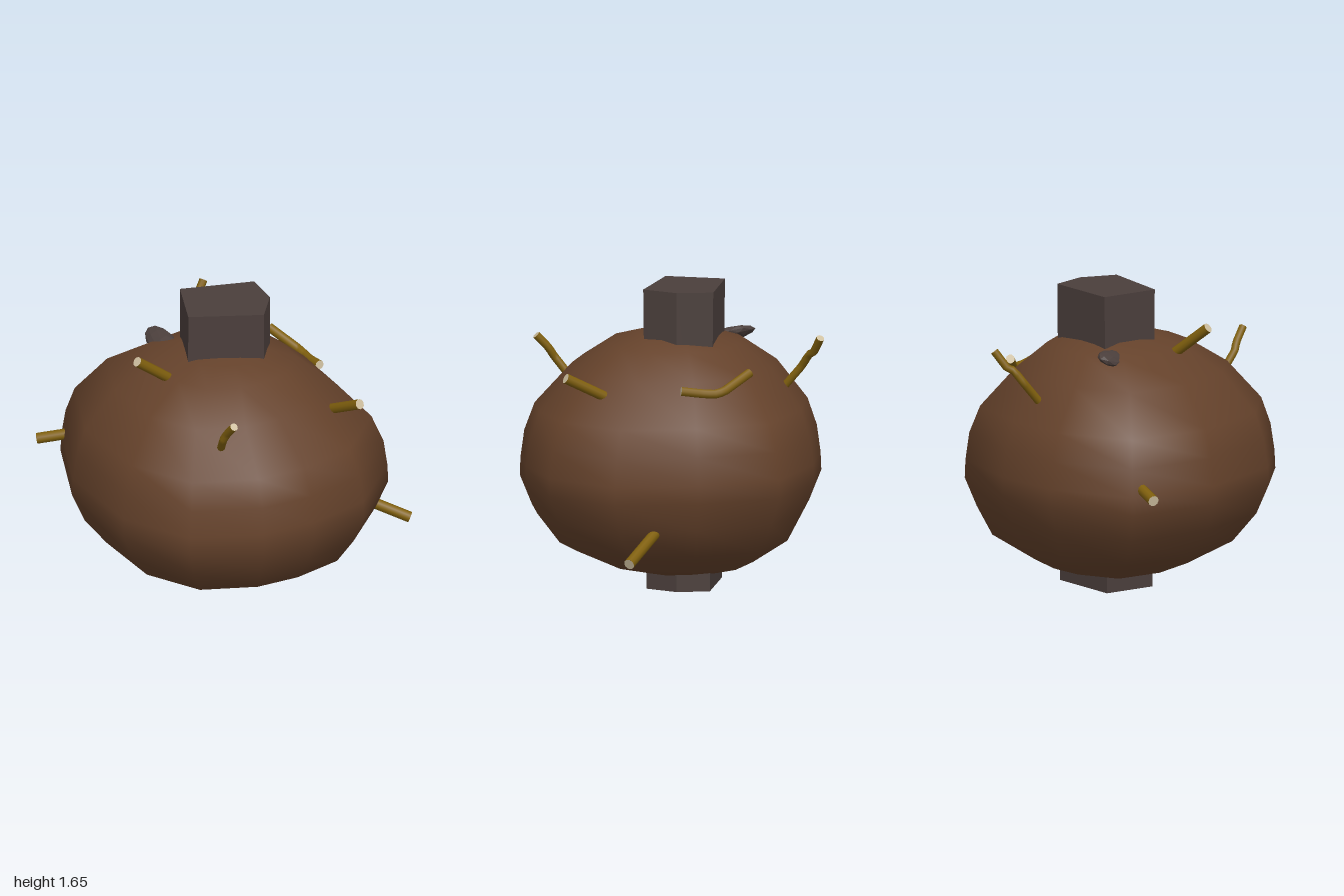
import * as THREE from 'three';

const mat = (color, extra = {}) => new THREE.MeshStandardMaterial({ color, ...extra });
const brown = mat(0x65422b);
const stone = mat(0x4b3f3c, { flatShading: true });
const wood = mat(0x80600e);
const cutWood = mat(0xcfc0a0);

function add(parent, name, geometry, material) {
  const mesh = new THREE.Mesh(geometry, material);
  mesh.name = name;
  parent.add(mesh);
  return mesh;
}

// Lumpy body: one irregular outline (x, z), scaled and shifted up the height
function bodyGeometry() {
  const outline = [
    [-0.86, -0.48], [-0.44, -0.73], [-0.05, -0.78], [0.43, -0.70], [0.70, -0.31], [0.85, 0.12],
    [0.66, 0.53], [0.36, 0.73], [0.07, 0.83], [-0.33, 0.82], [-0.66, 0.55], [-0.87, 0.05],
  ];
  // y, scale, shift in x, shift in z
  const rings = [
    [0.05, 0, -0.05, -0.06], [0.06, 0.12, -0.05, -0.06], [0.09, 0.3, -0.02, -0.06],
    [0.13, 0.5, -0.02, -0.05], [0.26, 0.79, 0.01, -0.02], [0.42, 0.92, 0, 0], [0.58, 1, 0, 0],
    [0.68, 0.995, 0, 0], [0.83, 0.97, 0, 0], [0.98, 0.905, -0.01, 0], [1.2, 0.68, -0.04, -0.01],
    [1.335, 0.45, -0.02, -0.02], [1.385, 0.25, -0.02, -0.02], [1.4, 0, -0.02, -0.02],
  ];
  const n = outline.length, pos = [], index = [];
  rings.forEach(([y, s, dx, dz], i) => {
    outline.forEach(([x, z], j) => {
      pos.push(x * s + dx, y, z * s + dz);
      if (i === rings.length - 1) return;
      const a = i * n + j, b = i * n + (j + 1) % n;
      index.push(a, a + n, b + n, a, b + n, b);
    });
  });
  const g = new THREE.BufferGeometry();
  g.setAttribute('position', new THREE.Float32BufferAttribute(pos, 3));
  g.setIndex(index);
  g.computeVertexNormals();
  return g;
}

// Five-sided pillar through the body, slightly narrower at its foot
function pillarGeometry() {
  const corners = [[-0.24, -0.24], [0.17, -0.27], [0.23, -0.08], [0.17, 0.12], [-0.24, 0.09]];
  const shape = new THREE.Shape(corners.map(([x, z]) => new THREE.Vector2(x, -z)));
  const g = new THREE.ExtrudeGeometry(shape, { depth: 1.65, bevelEnabled: false });
  g.rotateX(-Math.PI / 2);
  const p = g.attributes.position;
  for (let i = 0; i < p.count; i++) {
    if (p.getY(i) < 0.5) p.setZ(i, -0.075 + (p.getZ(i) + 0.075) * 0.9);
  }
  g.computeVertexNormals();
  return g;
}

// Stick along straight segments, with a pale cut face at each given end
function stick(parent, name, points, radius, bothEnds = false) {
  const group = new THREE.Group();
  group.name = name;
  const pts = points.map((p) => new THREE.Vector3(...p));
  const path = new THREE.CurvePath();
  for (let i = 1; i < pts.length; i++) path.add(new THREE.LineCurve3(pts[i - 1], pts[i]));
  add(group, 'stickBark', new THREE.TubeGeometry(path, pts.length > 2 ? 14 : 1, radius, 10), wood);
  const ends = [[pts.at(-1), pts.at(-2)]];
  if (bothEnds) ends.push([pts[0], pts[1]]);
  for (const [tip, prev] of ends) {
    const cap = add(group, 'stickCutEnd', new THREE.CircleGeometry(radius, 10), cutWood);
    cap.position.copy(tip);
    cap.lookAt(tip.clone().multiplyScalar(2).sub(prev));
  }
  parent.add(group);
}

export function createModel() {
  const model = new THREE.Group();
  model.name = 'stuckBoulder';
  add(model, 'body', bodyGeometry(), brown);
  add(model, 'pillar', pillarGeometry(), stone);

  // Straight sticks, from inside the body to the tip
  stick(model, 'leftSideStick', [[0.6, 0.445, -0.09], [0.985, 0.29, 0.01]], 0.03);
  stick(model, 'rightSideStick', [[-0.7, 0.745, -0.38], [-0.995, 0.685, -0.435]], 0.03);
  stick(model, 'leftShoulderStick', [[0.52, 1.12, 0.255], [0.65, 1.235, 0.44]], 0.028, true);
  stick(model, 'rightShoulderStick', [[-0.35, 1.31, 0.14], [-0.54, 1.475, 0.235]], 0.028, true);

  // Bent twigs
  stick(model, 'frontTwig', [[-0.13, 1.0, 0.53], [-0.135, 1.11, 0.61], [-0.13, 1.21, 0.69], [-0.115, 1.25, 0.71], [-0.085, 1.325, 0.775]], 0.022);
  stick(model, 'backTwig', [[-0.13, 1.0, -0.52], [-0.135, 1.11, -0.61], [-0.13, 1.21, -0.695], [-0.1, 1.28, -0.74], [-0.08, 1.295, -0.77], [-0.03, 1.385, -0.82]], 0.022);
  stick(model, 'leftBackTwig', [[0.285, 1.24, -0.5], [0.43, 1.155, -0.385], [0.455, 1.145, -0.34], [0.475, 1.15, -0.27], [0.515, 1.165, -0.17]], 0.025, true);

  // Stones half sunk into the top: size, place, tilt
  [
    ['topStone', [0.07, 0.035, 0.15], [-0.335, 1.325, -0.24], [0.2, 0.42, 0.4]],
    ['frontPebble', [0.015, 0.015, 0.035], [0, 1.305, 0.23], [0.4, 0, 0]],
    ['rightPebble', [0.03, 0.015, 0.015], [-0.36, 1.32, 0.1], [0, 0.3, 0.4]],
  ].forEach(([name, size, place, tilt]) => {
    const s = add(model, name, new THREE.IcosahedronGeometry(1, 1), stone);
    s.scale.set(...size);
    s.position.set(...place);
    s.rotation.set(...tilt);
  });
  return model;
}
